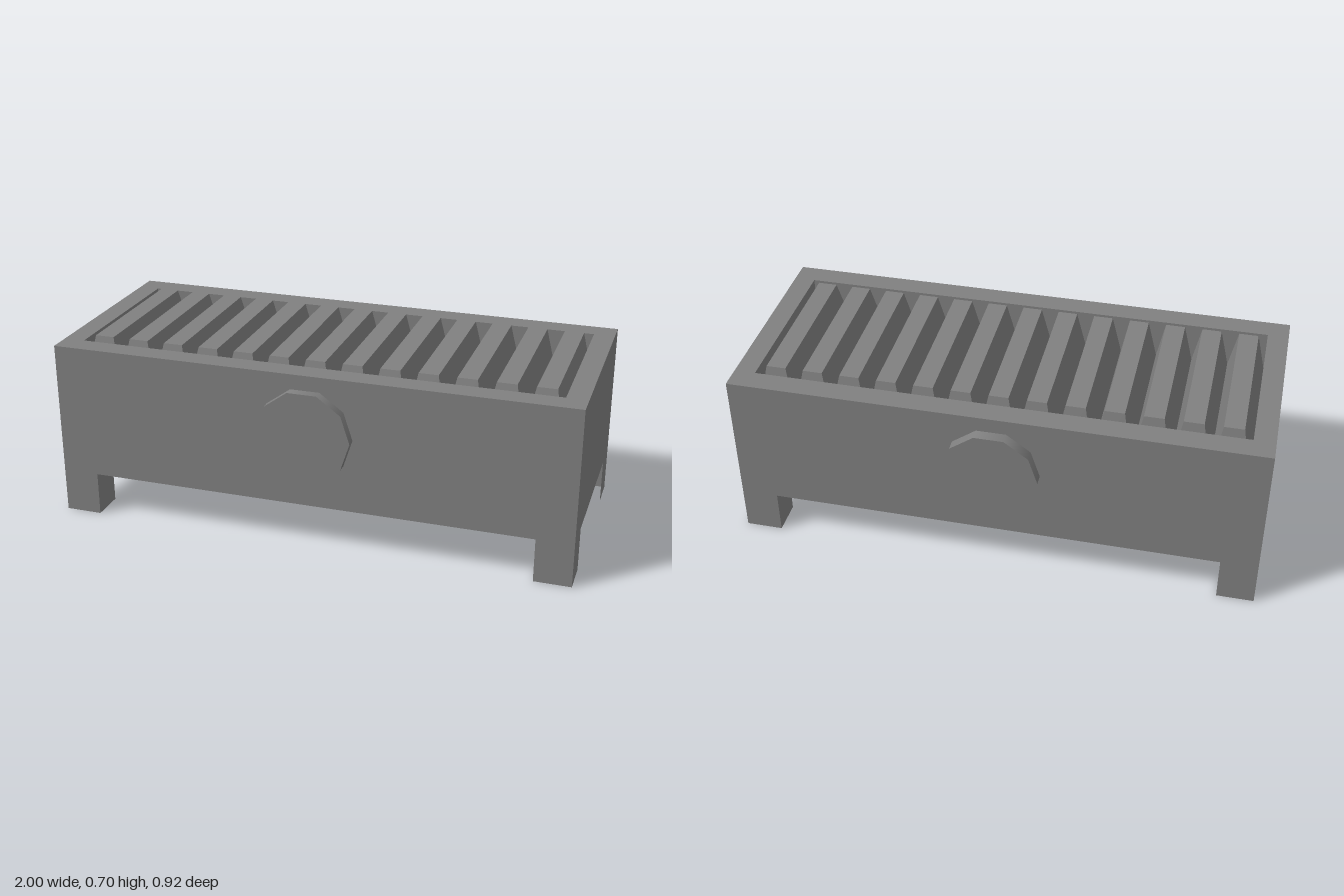
import * as THREE from 'three';

export function createModel() {
  const group = new THREE.Group();
  const mat = new THREE.MeshStandardMaterial({ color: 0x808080 });
  const shell = new THREE.MeshStandardMaterial({ color: 0x808080, side: THREE.DoubleSide });
  const W = 2, D = 0.84, baseY = 0.17, floorY = 0.53, topY = 0.687;
  const bodyZ = 0.003; // the body sits slightly forward of the discs' centre

  function add(name, geometry, x, y, z, material = mat) {
    const mesh = new THREE.Mesh(geometry, material);
    mesh.name = name;
    mesh.position.set(x, y, z);
    group.add(mesh);
  }

  function rectangle(PathType, w, d) {
    return new PathType([
      [-w / 2, -d / 2], [w / 2, -d / 2], [w / 2, d / 2], [-w / 2, d / 2],
    ].map(([x, y]) => new THREE.Vector2(x, y)));
  }

  // Lower body, closed at the floor of the tray
  add('body', new THREE.BoxGeometry(W, floorY - baseY, D), 0, (baseY + floorY) / 2, bodyZ);

  // Upper body: a rim around the recessed tray
  const rim = rectangle(THREE.Shape, W, D);
  rim.holes.push(rectangle(THREE.Path, 1.84, 0.665));
  const rimGeo = new THREE.ExtrudeGeometry(rim, { depth: topY - floorY, bevelEnabled: false });
  rimGeo.rotateX(-Math.PI / 2);
  add('trayRim', rimGeo, 0, floorY, bodyZ);

  // Grille: tapered slats whose feet touch, leaving V-shaped grooves
  const count = 13, pitch = 1.84 / count, slatH = 0.7 - floorY;
  const slatGeo = new THREE.BoxGeometry(pitch, slatH, 0.665).toNonIndexed();
  const p = slatGeo.attributes.position;
  for (let i = 0; i < p.count; i++) {
    if (p.getY(i) > 0) {
      p.setX(i, Math.sign(p.getX(i)) * 0.037);
      p.setZ(i, Math.sign(p.getZ(i)) * 0.298);
    }
  }
  slatGeo.computeVertexNormals();
  for (let i = 0; i < count; i++) {
    add('grilleSlat', slatGeo, (i - (count - 1) / 2) * pitch, floorY + slatH / 2, bodyZ);
  }

  // Ten-sided discs on the front and back
  const discGeo = new THREE.CylinderGeometry(0.18, 0.18, 0.08, 10);
  discGeo.rotateY(Math.PI / 2).rotateX(Math.PI / 2);
  for (const s of [1, -1]) {
    add(s > 0 ? 'frontDisc' : 'backDisc', discGeo, 0, 0.458, s * 0.42);
  }

  // Hollow legs, open below; the back left one is also open on its inner side
  const legW = 0.14, legD = 0.13;
  for (const sx of [1, -1]) {
    for (const sz of [1, -1]) {
      const geo = new THREE.BoxGeometry(legW, baseY, legD);
      const index = Array.from(geo.index.array);
      const openInner = sx > 0 && sz < 0;
      // Box sides in order: +x, -x, +y, -y, +z, -z
      const sides = openInner ? [0, 1, 5] : [0, 1, 4, 5];
      geo.setIndex(sides.flatMap((s) => index.slice(s * 6, s * 6 + 6)));
      geo.clearGroups();
      const name = (sz > 0 ? 'front' : 'back') + (sx > 0 ? 'Left' : 'Right') + 'Leg';
      add(name, geo, sx * (W - legW) / 2, baseY / 2, bodyZ + sz * (D - legD) / 2, shell);
    }
  }

  return group;
}
